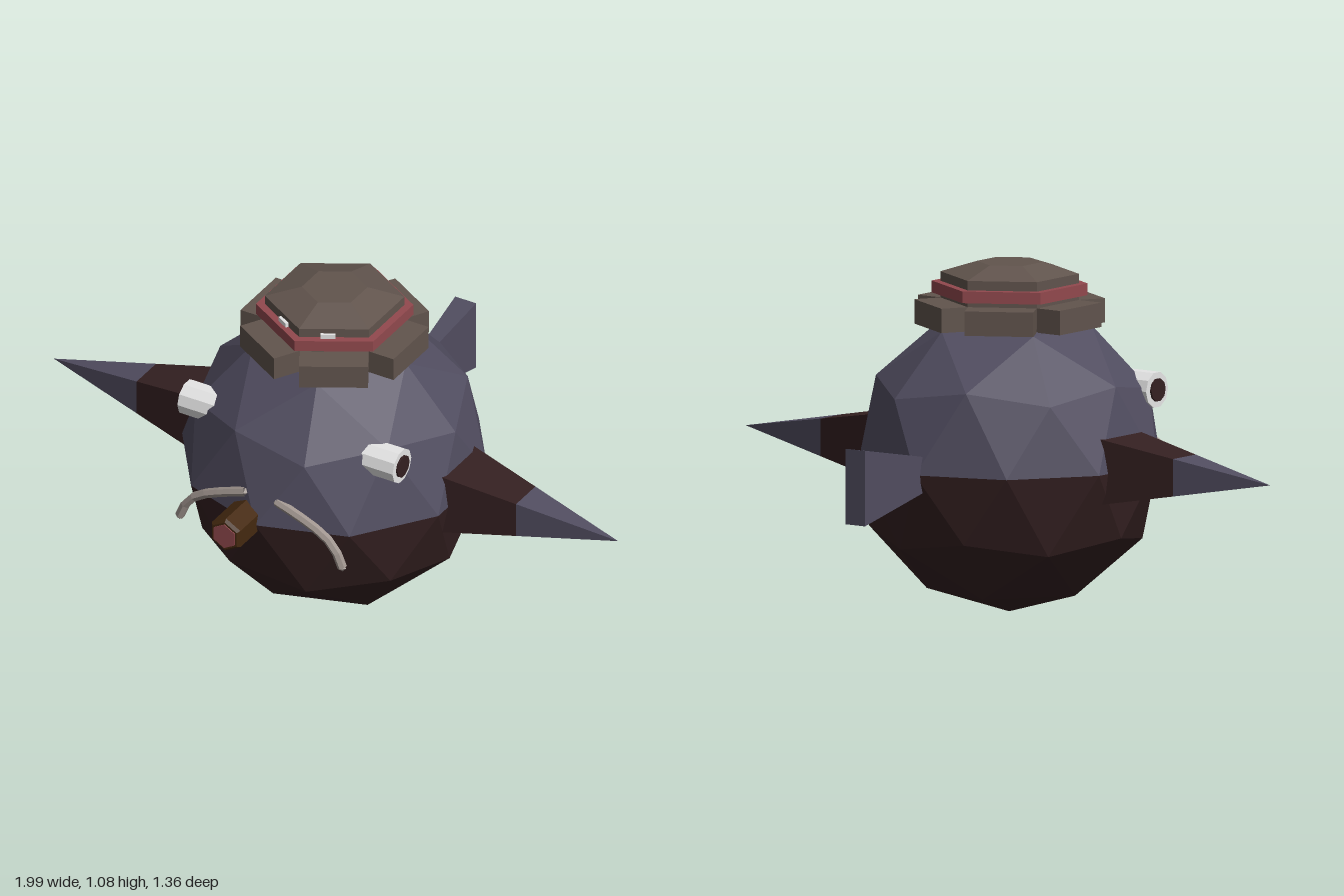
import * as THREE from 'three';

const mat = (name, color) => {
  const m = new THREE.MeshStandardMaterial({ color });
  m.name = name;
  return m;
};

export function createModel() {
  const root = new THREE.Group();
  root.name = 'roundFish';
  const slate = mat('slate', 0x514d60);
  const darkBrown = mat('darkBrown', 0x342021);
  const hatBrown = mat('hatBrown', 0x61544d);
  const red = mat('red', 0x92494e);
  const white = mat('white', 0xe6e6e6);
  const grey = mat('grey', 0xa0958f);
  const wood = mat('wood', 0x452910);
  const CY = 0.48, CZ = 0.098; // body centre

  // Adds a faceted mesh
  const add = (name, geo, material, x = 0, y = 0, z = 0, parent = root) => {
    const g = geo.index ? geo.toNonIndexed() : geo;
    g.computeVertexNormals();
    const m = new THREE.Mesh(g, material);
    m.name = name;
    m.position.set(x, y, z);
    parent.add(m);
    return m;
  };
  const prism = (rTop, rBottom, h, sides = 6) => new THREE.CylinderGeometry(rTop, rBottom, h, sides);

  // Body: faceted ball standing on a corner, split at the equator
  const ball = new THREE.IcosahedronGeometry(0.476, 1).rotateZ(-Math.atan(2 / (1 + Math.sqrt(5))));
  const p = ball.attributes.position.array;
  const halves = { upper: [], lower: [] };
  for (let i = 0; i < p.length; i += 9) {
    const side = p[i + 1] + p[i + 4] + p[i + 7] > 0 ? 'upper' : 'lower';
    halves[side].push(...p.slice(i, i + 9));
  }
  for (const side of ['upper', 'lower']) {
    const g = new THREE.BufferGeometry();
    g.setAttribute('position', new THREE.Float32BufferAttribute(halves[side], 3));
    add(side + 'Body', g, side === 'upper' ? slate : darkBrown, 0, CY, CZ);
  }

  // Tail: box narrowing towards the body
  const tail = new THREE.BoxGeometry(0.074, 0.232, 0.36);
  const tp = tail.attributes.position;
  for (let i = 0; i < tp.count; i++) {
    if (tp.getZ(i) > 0) tp.setXY(i, tp.getX(i) * 0.32, tp.getY(i) * 0.42);
  }
  add('tail', tail, slate, 0, CY, -0.5);

  for (const s of [1, -1]) {
    const side = s > 0 ? 'left' : 'right';

    // Side fins: four-sided spikes with a paler tip
    const spike = (x0, x1, name, material) => {
      const r = (x) => 0.176 * (0.997 - x) * Math.SQRT2;
      const g = prism(r(x1), r(x0), x1 - x0, 4).rotateY(Math.PI / 4).rotateZ(-s * Math.PI / 2);
      add(side + name, g, material, s * (x0 + x1) / 2, 0.484, 0.092);
    };
    spike(0.39, 0.67, 'FinBase', darkBrown);
    spike(0.67, 0.997, 'FinTip', slate);

    // Eyes: short barrels with a dark pupil
    add(side + 'Eye', prism(0.056, 0.056, 0.13, 10).rotateZ(-s * Math.PI / 2), white, s * 0.315, 0.69, 0.34);
    add(side + 'Pupil', prism(0.036, 0.036, 0.009, 10).rotateZ(-s * Math.PI / 2), darkBrown, s * 0.3815, 0.69, 0.34);

    // Moustache halves, with closed ends
    const pts = [[0.055, 0.564], [0.13, 0.538], [0.2, 0.508], [0.255, 0.468], [0.287, 0.402]]
      .map(([x, y]) => new THREE.Vector3(s * x, y, 0.538));
    add(side + 'Moustache', new THREE.TubeGeometry(new THREE.CatmullRomCurve3(pts), 6, 0.015, 6), grey);
    for (const [i, name] of [[0, 'MoustacheRoot'], [4, 'MoustacheEnd']]) {
      add(side + name, new THREE.OctahedronGeometry(0.014), grey, ...pts[i].toArray());
    }

    // Small white studs above the hat band
    add(side + 'HatStud', new THREE.BoxGeometry(0.045, 0.02, 0.02), white, s * 0.076, 1.02, 0.268)
      .rotation.y = s * Math.PI / 6;
  }

  // Snout: six-sided peg with a red face
  const peg = new THREE.Group();
  peg.name = 'snout';
  peg.position.set(-0.046, 0.484, 0);
  root.add(peg);
  const along = (g) => g.rotateX(Math.PI / 2).rotateZ(Math.PI);
  add('snoutBody', along(prism(0.058, 0.058, 0.19)), wood, 0, 0, 0.573, peg);
  add('snoutRim', along(prism(0.049, 0.058, 0.01)), wood, 0, 0, 0.673, peg);
  add('snoutFace', along(prism(0.042, 0.042, 0.004)), red, 0, 0, 0.679, peg);

  // Hat: ring of brim blocks, crown, band and sloping top
  const hat = new THREE.Group();
  hat.name = 'hat';
  hat.position.z = CZ + 0.002;
  root.add(hat);
  for (let i = 0; i < 6; i++) {
    const a = i * Math.PI / 3;
    add('brimBlock', new THREE.BoxGeometry(0.12, 0.075, 0.21), hatBrown,
      Math.cos(a) * 0.21, 0.927, Math.sin(a) * 0.21, hat).rotation.y = -a;
  }
  add('hatCrown', prism(0.212, 0.212, 0.145), hatBrown, 0, 0.9725, 0, hat);
  add('hatTop', prism(0.1, 0.212, 0.034), hatBrown, 0, 1.062, 0, hat);
  add('hatBand', prism(0.239, 0.239, 0.036), red, 0, 0.998, 0, hat);

  return root;
}
